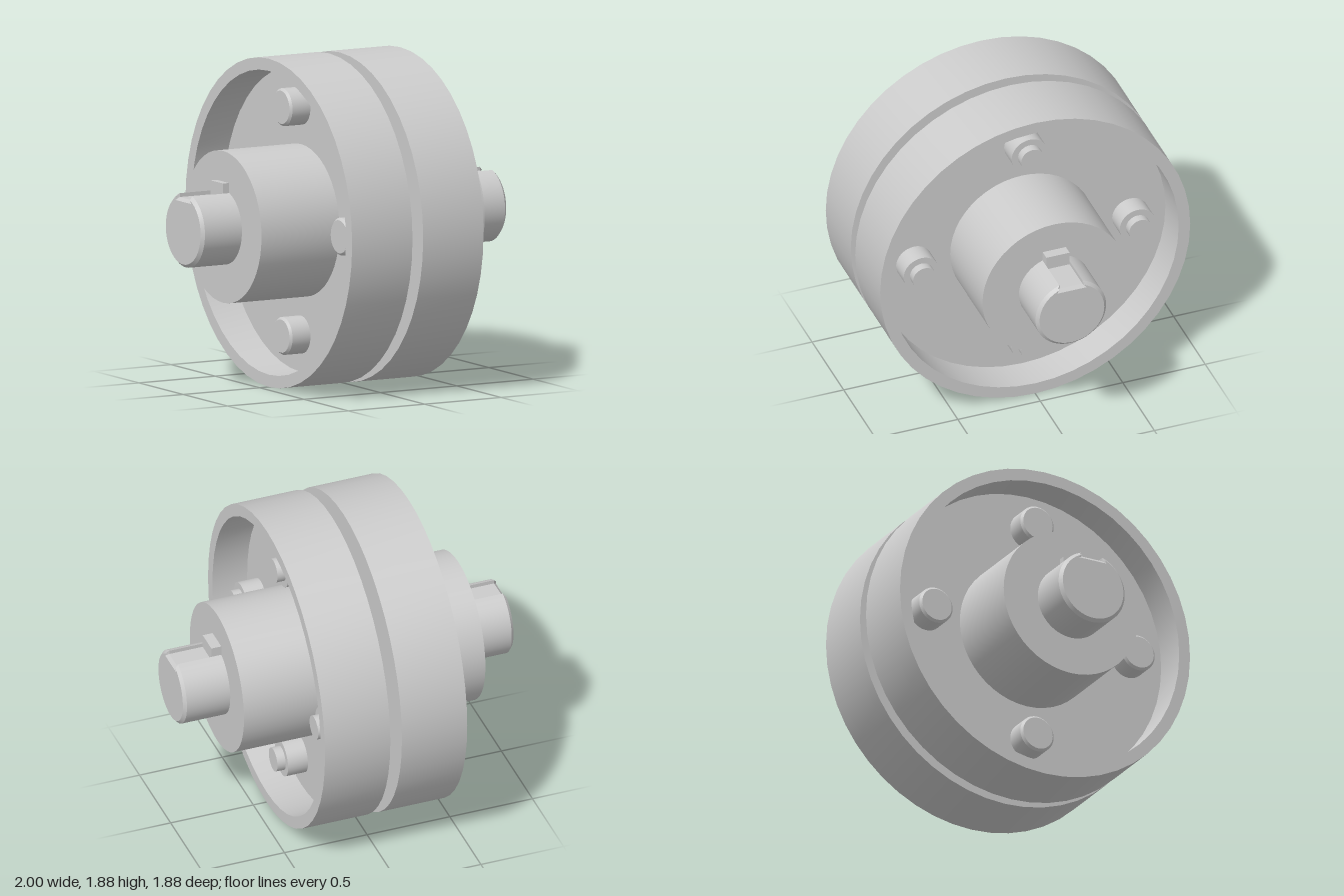
import * as THREE from 'three';
import { toCreasedNormals } from 'three/addons/utils/BufferGeometryUtils.js';

const AXIS_Y = 0.94;
const material = new THREE.MeshStandardMaterial({ color: 0xcccccc });

function addMesh(parent, name, geometry) {
  const mesh = new THREE.Mesh(geometry, material);
  mesh.name = name;
  parent.add(mesh);
  return mesh;
}

// Turned part along x; profile is [radius, x] with x rising on the outside
function turned(profile, sides) {
  const points = profile.map(([r, x]) => new THREE.Vector2(r, x));
  const geometry = new THREE.LatheGeometry(points, sides).rotateZ(-Math.PI / 2);
  return toCreasedNormals(geometry, 0.5);
}

// Shaft with an open keyway along its top and chamfered ends
function keyedShaft(start, end) {
  const r = 0.214, w = 0.07, chamfer = 0.018;
  const a = Math.acos(w / r);
  const shape = new THREE.Shape();
  shape.absarc(0, 0, r, Math.PI - a, 2 * Math.PI + a, false);
  shape.lineTo(w, 0.18);
  shape.lineTo(-w, 0.18);
  shape.closePath();
  const geometry = new THREE.ExtrudeGeometry(shape, {
    depth: end - start - 2 * chamfer, curveSegments: 48,
    bevelEnabled: true, bevelSegments: 1,
    bevelSize: chamfer, bevelThickness: chamfer, bevelOffset: -chamfer,
  });
  geometry.translate(0, 0, start + chamfer).rotateY(Math.PI / 2);
  return toCreasedNormals(geometry, 0.5);
}

// One coupling half: flanged hub, shaft and key, pointing along +x
function couplingHalf(name, shaftEnd) {
  const half = new THREE.Group();
  half.name = name;
  addMesh(half, 'flangedHub', turned([
    [0, 0.004], [0.305, 0.004], [0.32, 0.014], [0.32, 0.035],
    [0.94, 0.035], [0.94, 0.43], [0.87, 0.43], [0.87, 0.22],
    [0.435, 0.22], [0.435, 0.73], [0, 0.73],
  ], 48));
  addMesh(half, 'shaft', keyedShaft(0.3, shaftEnd));
  const keyStart = 0.3, keyEnd = shaftEnd - 0.22;
  const key = addMesh(half, 'key', new THREE.BoxGeometry(keyEnd - keyStart, 0.1, 0.14));
  key.position.set((keyStart + keyEnd) / 2, 0.21, 0);
  return half;
}

export function createModel() {
  const model = new THREE.Group();
  model.name = 'flangeCoupling';

  const rightHalf = couplingHalf('couplingHalfA', 1.01);
  const leftHalf = couplingHalf('couplingHalfB', 0.99);
  leftHalf.rotation.y = Math.PI;
  for (const half of [rightHalf, leftHalf]) {
    half.position.set(-0.01, AXIS_Y, 0);
    model.add(half);
  }

  // Four bolts around the axis: head on -x, nut and bolt tip on +x
  const boltGeometry = turned([
    [0, -0.36], [0.095, -0.36], [0.108, -0.347], [0.108, -0.23],
    [0.07, -0.23], [0.07, 0.38], [0, 0.38],
  ], 32);
  const nutGeometry = turned([[0.07, 0.21], [0.108, 0.21], [0.108, 0.33], [0.07, 0.33]], 32);
  for (let i = 0; i < 4; i++) {
    const angle = (i * Math.PI) / 2;
    const bolt = new THREE.Group();
    bolt.name = 'bolt' + (i + 1);
    addMesh(bolt, 'boltShank', boltGeometry);
    addMesh(bolt, 'nut', nutGeometry);
    bolt.position.set(0, AXIS_Y + 0.655 * Math.cos(angle), 0.655 * Math.sin(angle));
    model.add(bolt);
  }
  return model;
}
